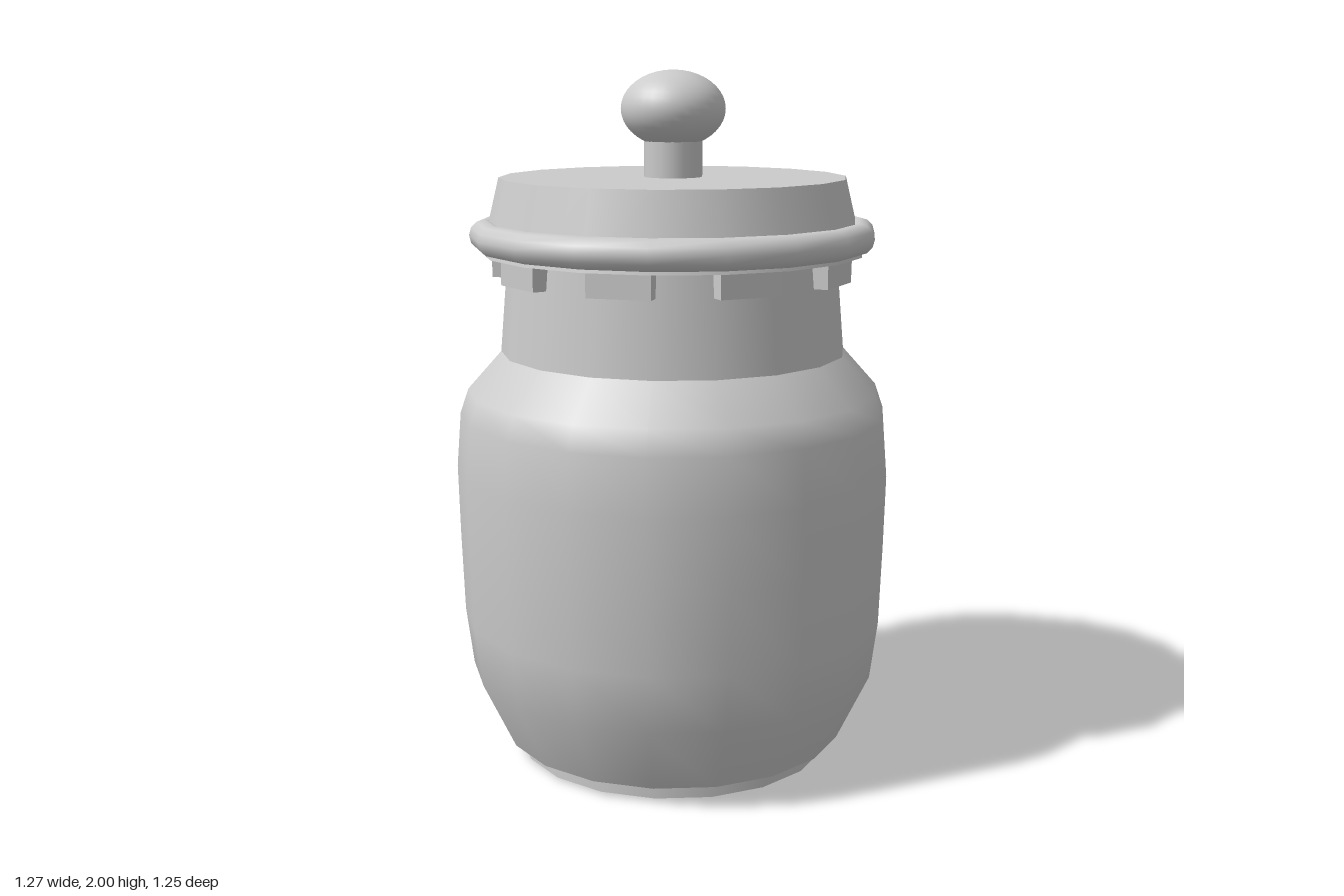
import * as THREE from 'three';

const SIDES = 18;
const grey = new THREE.MeshStandardMaterial({ color: 0xcccccc });

export function createModel() {
  const group = new THREE.Group();
  group.name = 'lidded jar';

  function add(name, geometry, y = 0) {
    const mesh = new THREE.Mesh(geometry, grey);
    mesh.name = name;
    mesh.position.y = y;
    group.add(mesh);
    return mesh;
  }

  // Straight or tapered ring between two heights, with a corner on the x axis
  function drum(name, rTop, rBottom, y0, y1, sides = SIDES) {
    const g = new THREE.CylinderGeometry(rTop, rBottom, y1 - y0, sides).rotateY(Math.PI / 2);
    return add(name, g, (y0 + y1) / 2);
  }

  // Foot and rounded body
  drum('foot', 0.46, 0.46, 0, 0.06);
  const profile = [
    [0.505, 0.05], [0.6, 0.25], [0.622, 0.42], [0.63, 0.65], [0.635, 0.86],
    [0.622, 1.02], [0.598, 1.09], [0.5, 1.2],
  ].map(([r, y]) => new THREE.Vector2(r, y));
  add('body', new THREE.LatheGeometry(profile, SIDES).rotateY(Math.PI / 2));
  const underside = new THREE.CircleGeometry(0.505, SIDES).rotateX(Math.PI / 2);
  add('bodyUnderside', underside, 0.05);

  // Neck rising into the lid
  drum('neck', 0.475, 0.5, 1.2, 1.495);

  // Lid with a rounded rim
  drum('lid', 0.498, 0.55, 1.485, 1.7);
  add('lidRim', new THREE.TorusGeometry(0.541, 0.044, 12, SIDES).rotateX(Math.PI / 2), 1.536);

  // Nine blocks spaced around the neck under the lid
  const blocks = new THREE.Group();
  blocks.name = 'neckBlocks';
  for (let i = 0; i < 9; i++) {
    const a = THREE.MathUtils.degToRad(20 + i * 40);
    const block = new THREE.Mesh(new THREE.BoxGeometry(0.18, 0.085, 0.08), grey);
    block.name = 'neckBlock';
    block.position.set(Math.sin(a) * 0.473, 1.4575, Math.cos(a) * 0.473);
    block.rotation.y = a;
    blocks.add(block);
  }
  group.add(blocks);

  // Handle on top of the lid
  drum('knobStem', 0.083, 0.083, 1.69, 1.83, 16);
  add('knob', new THREE.SphereGeometry(0.149, 32, 20).scale(1, 0.73, 1), 1.891);

  return group;
}
